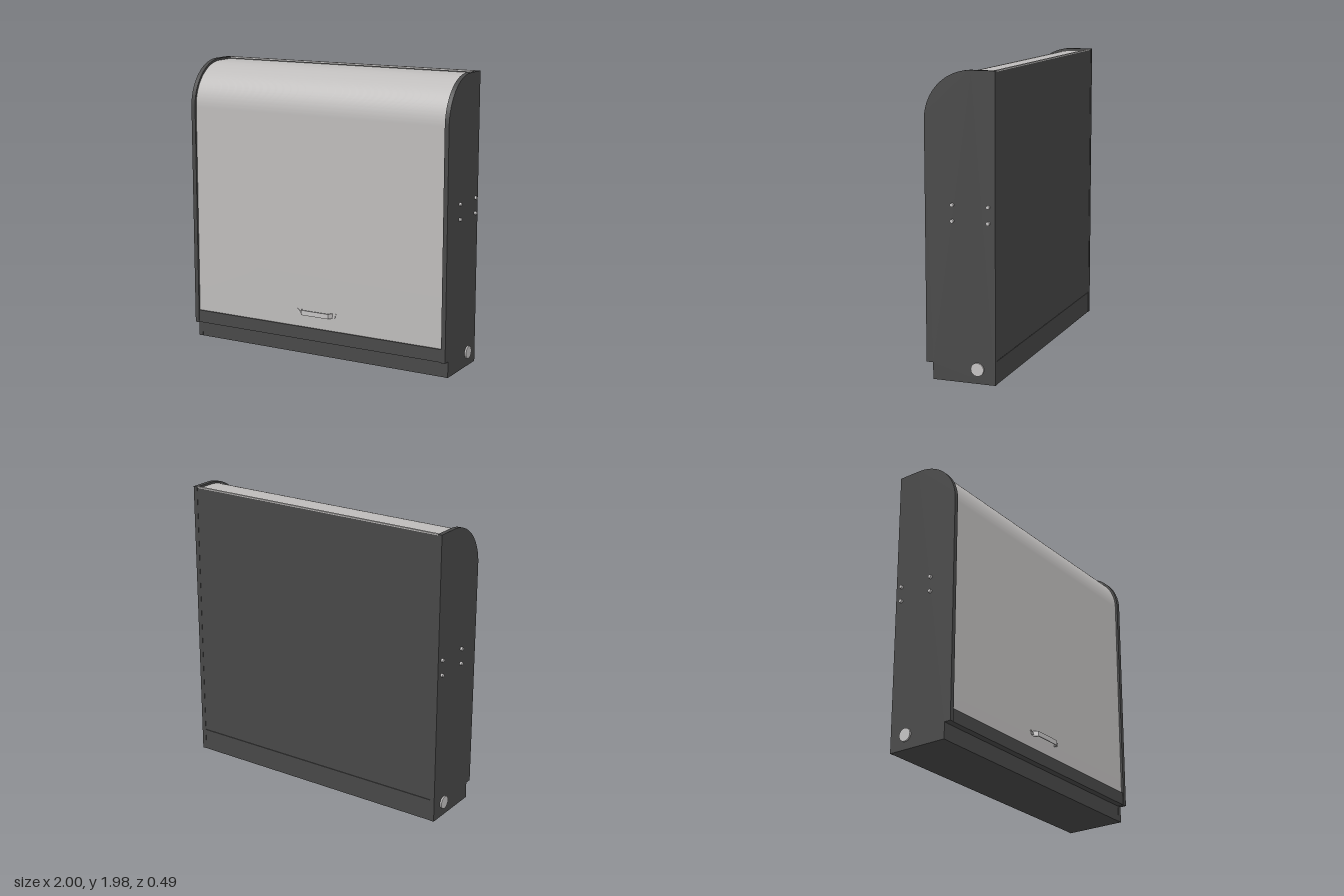
import * as THREE from 'three';
import { toCreasedNormals } from 'three/addons/utils/BufferGeometryUtils.js';

const material = (name, color) => {
  const m = new THREE.MeshStandardMaterial({ color });
  m.name = name;
  return m;
};

export function createModel() {
  const dark = material('dark casing', 0x484848);
  const light = material('light shutter', 0xbebcbb);
  const metal = material('pale metal', 0xc4c2c2);
  const group = new THREE.Group();

  const add = (name, geometry, mat, x = 0, y = 0, z = 0, parent = group) => {
    const mesh = new THREE.Mesh(geometry, mat);
    mesh.name = name;
    mesh.position.set(x, y, z);
    parent.add(mesh);
    return mesh;
  };
  // Box given by its width and its y and z limits
  const slab = (name, mat, w, y0, y1, z0, z1) =>
    add(name, new THREE.BoxGeometry(w, y1 - y0, z1 - z0), mat, 0, (y0 + y1) / 2, (z0 + z1) / 2);

  // Extrudes a (z, y) profile along x, centred
  const extrudeX = (shape, width) => {
    const g = new THREE.ExtrudeGeometry(shape, { depth: width, bevelEnabled: false, curveSegments: 32 });
    g.translate(0, 0, -width / 2);
    g.rotateY(-Math.PI / 2);
    return toCreasedNormals(g, 0.5);
  };

  // Side panels with rounded top and toe notch
  const side = new THREE.Shape();
  side.moveTo(-0.245, 0);
  side.lineTo(0.18, 0);
  side.lineTo(0.18, 0.11);
  side.lineTo(0.225, 0.11);
  side.lineTo(0.225, 1.66);
  side.absarc(-0.09, 1.66, 0.315, 0, Math.PI / 2, false);
  side.lineTo(-0.245, 1.975);
  side.closePath();

  // Curved shutter, slightly recessed between the sides
  const cover = new THREE.Shape();
  cover.moveTo(-0.225, 0.2);
  cover.lineTo(0.21, 0.2);
  cover.lineTo(0.21, 1.66);
  cover.absarc(-0.09, 1.66, 0.3, 0, Math.PI / 2, false);
  cover.lineTo(-0.225, 1.96);
  cover.closePath();
  add('shutter', extrudeX(cover, 1.91), light);

  // Back, top rail, sill and plinth
  slab('backPanel', dark, 1.91, 0.153, 1.967, -0.243, -0.225);
  slab('lowerBackPanel', dark, 1.91, 0, 0.15, -0.243, -0.225);
  slab('topRail', light, 1.91, 1.967, 1.975, -0.243, -0.225);
  slab('sill', dark, 1.91, 0.112, 0.2, -0.225, 0.22);
  slab('plinth', dark, 1.91, 0, 0.11, -0.225, 0.178);

  // Sides with their bolts and round caps
  for (const s of [-1, 1]) {
    add(s > 0 ? 'leftSide' : 'rightSide', extrudeX(side, 0.03), dark, s * 0.97);
    const cap = new THREE.CylinderGeometry(0.043, 0.043, 0.012, 32).rotateZ(Math.PI / 2);
    add('roundCap', cap, metal, s * 0.99, 0.095, -0.125);
    for (const y of [1.035, 1.137]) for (const z of [0.04, -0.2]) {
      const bolt = new THREE.CylinderGeometry(0.012, 0.012, 0.016, 16).rotateZ(Math.PI / 2);
      add('bolt', bolt, metal, s * 0.992, y, z);
    }
  }

  // Pull handle: bent strap with a narrow flared foot at each end
  const handle = new THREE.Group();
  handle.name = 'handle';
  handle.position.set(0.012, 0.307, 0.21);
  group.add(handle);
  const outline = [[-0.122, 0], [-0.105, 0.032], [0.105, 0.032], [0.122, 0], [0.114, 0], [0.1, 0.025], [-0.1, 0.025], [-0.114, 0]];
  const strap = new THREE.Shape(outline.map(([x, z]) => new THREE.Vector2(x, -z)));
  const strapGeo = new THREE.ExtrudeGeometry(strap, { depth: 0.034, bevelEnabled: false });
  strapGeo.translate(0, 0, -0.017).rotateX(-Math.PI / 2);
  // Shape y maps to -z, so the strap bows outwards
  add('strap', strapGeo, metal, 0, 0, 0, handle);
  for (const s of [-1, 1]) {
    const foot = add('foot', new THREE.BoxGeometry(0.038, 0.009, 0.006), metal, s * 0.139, 0.003, 0.003, handle);
    foot.rotation.z = s * 0.7;
    const screw = new THREE.CylinderGeometry(0.009, 0.009, 0.008, 12).rotateX(Math.PI / 2);
    add('screw', screw, metal, s * 0.138, -0.004, 0.004, handle);
  }
  return group;
}
